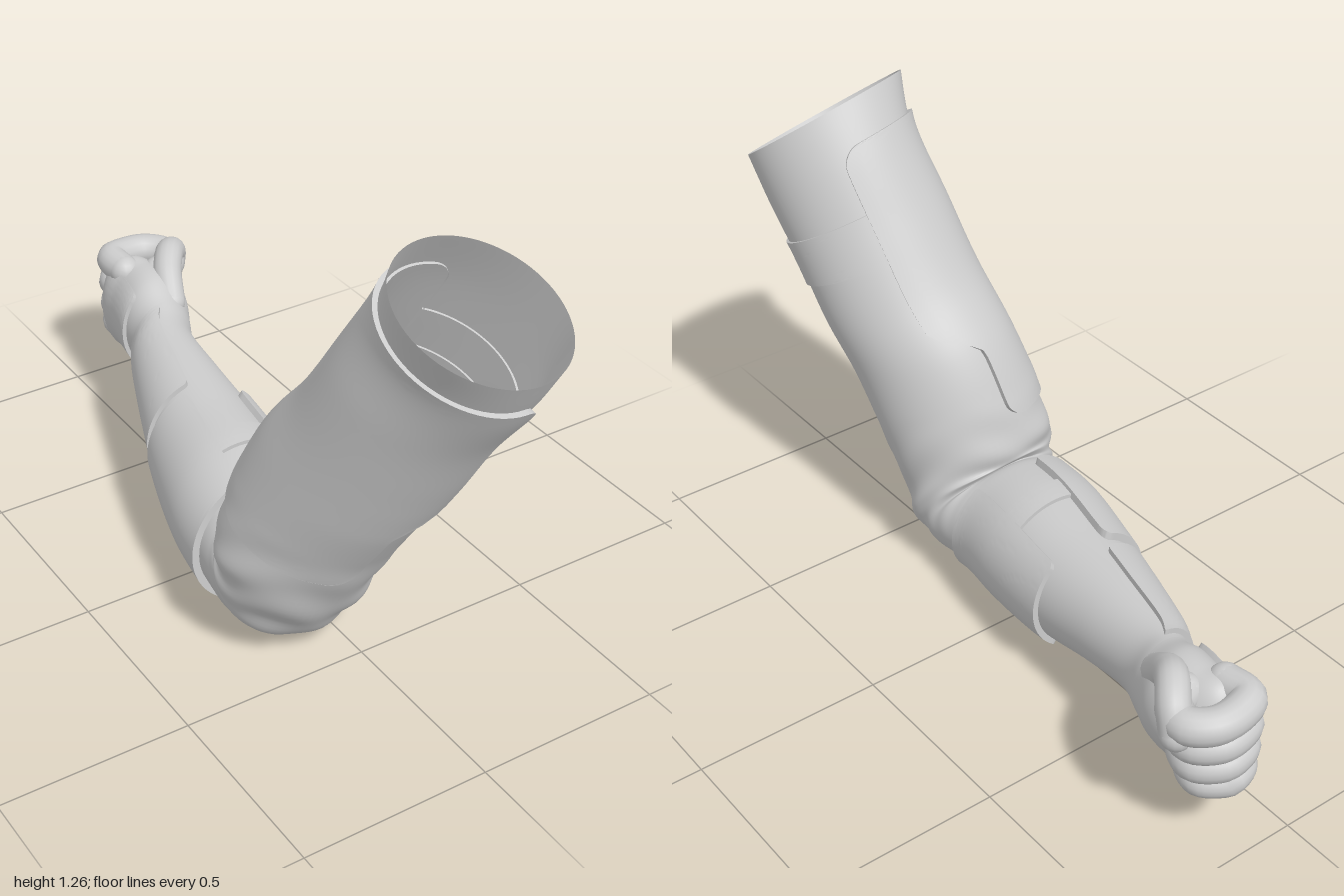
import * as THREE from 'three';
import { toCreasedNormals } from 'three/addons/utils/BufferGeometryUtils.js';

const mat = new THREE.MeshStandardMaterial({ color: 0xcccccc, side: THREE.DoubleSide });

// Cross-sections from shoulder rim to knuckles:
// [z, y of the back/top point, z, y of the front/bottom point, x min, x max, sideways tilt]
const S = [
  [0.68, 1.25, 1.0, 1.04, -0.19, 0.25, 0.05],
  [0.6, 1.12, 0.93, 0.92, -0.165, 0.235, 0.045],
  [0.5, 0.95, 0.84, 0.79, -0.19, 0.215, 0.04],
  [0.4, 0.79, 0.76, 0.64, -0.215, 0.195, 0.035],
  [0.29, 0.65, 0.685, 0.5, -0.245, 0.165, 0.03],
  [0.22, 0.5, 0.6, 0.36, -0.275, 0.145, 0.03],
  [0.185, 0.37, 0.52, 0.21, -0.305, 0.125, 0.02],
  [0.19, 0.33, 0.43, 0.065, -0.295, 0.12, 0.01],
  [0.19, 0.33, 0.31, 0.01, -0.275, 0.11, 0],
  [0.15, 0.345, 0.16, 0.01, -0.26, 0.1, 0],
  [0, 0.365, 0, 0.02, -0.235, 0.125, 0],
  [-0.2, 0.365, -0.2, 0.055, -0.175, 0.145, 0],
  [-0.4, 0.372, -0.4, 0.115, -0.1, 0.153, 0],
  [-0.58, 0.38, -0.56, 0.155, -0.03, 0.165, 0],
  [-0.66, 0.395, -0.66, 0.16, 0.015, 0.2, 0],
  [-0.74, 0.43, -0.74, 0.158, 0.025, 0.235, 0],
  [-0.82, 0.435, -0.82, 0.155, 0.04, 0.235, 0],
  [-0.9, 0.425, -0.9, 0.16, 0.055, 0.2, 0],
  [-0.96, 0.31, -0.96, 0.29, 0.12, 0.14, 0],
];

// Smoothly interpolated section at s
function section(s) {
  const i = Math.min(Math.max(Math.floor(s), 0), S.length - 2), f = s - i;
  const at = (k) => S[Math.min(Math.max(k, 0), S.length - 1)];
  const [a, b, c, d] = [at(i - 1), at(i), at(i + 1), at(i + 2)];
  return b.map((p, k) => p + 0.5 * f * (c[k] - a[k]
    + f * (2 * a[k] - 5 * p + 4 * c[k] - d[k] + f * (3 * (p - c[k]) + d[k] - a[k]))));
}

// Point on the limb: deg 0 = inner side, 90 = back/top, 180 = outer side, 270 = front/bottom
function limbPoint(s, deg, off = 0) {
  const [az, ay, bz, by, x0, x1, tilt] = section(s);
  const t = THREE.MathUtils.degToRad(deg);
  // cloth folds around the elbow
  const fold = Math.max(0, 1 - Math.abs(s - 6.6) / 1.9);
  off += 0.008 * fold * Math.sin(s * 6 + 2.5 * Math.sin(t * 2)) * Math.cos(t * 3 + s);
  const U = new THREE.Vector3((x1 - x0) / 2, -tilt, 0);
  const V = new THREE.Vector3(0, (ay - by) / 2, (az - bz) / 2);
  return new THREE.Vector3((x0 + x1) / 2, (ay + by) / 2, (az + bz) / 2)
    .addScaledVector(U, Math.cos(t) * (1 + off / U.length()))
    .addScaledVector(V, Math.sin(t) * (1 + off / V.length()));
}

// Indexed grid of nu x nv points; wrap closes it in the second direction
function grid(nu, nv, wrap, fn) {
  const pos = [], idx = [];
  for (let i = 0; i < nu; i++) for (let j = 0; j < nv; j++) pos.push(...fn(i, j).toArray());
  for (let i = 0; i < nu - 1; i++) for (let j = 0; j < (wrap ? nv : nv - 1); j++) {
    const k = (j + 1) % nv, a = i * nv + j, b = a + nv, c = i * nv + k, d = c + nv;
    idx.push(a, b, c, c, b, d);
  }
  const g = new THREE.BufferGeometry();
  g.setAttribute('position', new THREE.Float32BufferAttribute(pos, 3));
  g.setIndex(idx);
  g.computeVertexNormals();
  return g;
}

function named(name, geometry) {
  const m = new THREE.Mesh(geometry, mat);
  m.name = name;
  return m;
}

function limb(name, s0, s1) {
  const n = Math.round((s1 - s0) * 10), m = 72;
  return named(name, grid(n + 1, m, true, (i, j) => limbPoint(s0 + (s1 - s0) * i / n, j * 360 / m)));
}

// Raised shell over part of the limb, with a skirt down to the surface and rounded corners
function plate(name, s0, s1, range, off, round = 0.2, corner = 10) {
  const n = 48, m = 36;
  const geo = grid(n + 3, m + 3, false, (i, j) => {
    const u = THREE.MathUtils.clamp((i - 1) / n, 0, 1), v = THREE.MathUtils.clamp((j - 1) / m, 0, 1);
    const s = s0 + (s1 - s0) * (1 - Math.cos(u * Math.PI)) / 2;
    const d = round ? Math.max(0, 1 - Math.min(s - s0, s1 - s) / round) : 0;
    const cut = corner * (1 - Math.sqrt(Math.max(0, 1 - d * d)));
    const [a, b] = range(s);
    const skirt = i === 0 || j === 0 || i === n + 2 || j === m + 2;
    return limbPoint(s, a + cut + (b - a - 2 * cut) * v, skirt ? -0.006 : off);
  });
  return named(name, toCreasedNormals(geo, 0.7));
}

// Rounded finger along a few points
function digit(name, pts, r) {
  const g = new THREE.Group();
  g.name = name;
  const curve = new THREE.CatmullRomCurve3(pts.map((p) => new THREE.Vector3(...p)));
  g.add(named(name + 'Body', new THREE.TubeGeometry(curve, 32, r, 16)));
  for (const t of [0, 1]) {
    const tip = named(name + 'End', new THREE.SphereGeometry(r, 16, 12));
    tip.position.copy(curve.getPoint(t));
    g.add(tip);
  }
  return g;
}

export function createModel() {
  const model = new THREE.Group();
  model.name = 'armouredArm';

  // Sleeve, forearm and palm
  model.add(limb('sleevedArm', 0, 14), limb('palm', 14, 18));

  // Upper arm plate, stepped narrower near the elbow on both edges
  model.add(plate('upperArmPlate', 0.75, 5.3, (s) => {
    const w = 113 - 30 * THREE.MathUtils.smoothstep(s, 3.45, 4.1);
    return [180 - w, 180 + w];
  }, 0.013, 0.3, 14));
  model.add(plate('upperArmStrap', 1.65, 2.35, () => [-68, 68], 0.007, 0));

  // Forearm plates and the straps between them
  model.add(plate('innerForearmPlate', 8.75, 11.15, () => [-57, 52], 0.016, 0.15, 6));
  model.add(plate('outerForearmPlate', 9, 11.25, () => [106, 252], 0.02, 0.2, 8));
  model.add(plate('wristCuff', 11.42, 13.75, (s) => [101 - 3 * (s - 11.4), 259 + 3 * (s - 11.4)], 0.014, 0.1, 5));
  for (const [a, b] of [[50, 108], [-110, -55]]) {
    model.add(plate('forearmStrap', 9.88, 10.3, () => [a, b], 0.01, 0));
  }

  // Plate on the back of the hand
  model.add(plate('handPlate', 14.75, 17.1, () => [128, 232], 0.012, 0.2, 8));

  // Curled fingers, index to little
  [[0.405, 0.275, 0.045], [0.335, 0.255, 0.043], [0.265, 0.24, 0.042], [0.202, 0.22, 0.038]].forEach(([y, x, r], i) => {
    const z = -1 + r + i * 0.004;
    model.add(digit('finger' + (i + 1), [
      [0.1, y, -0.86], [0.1, y + 0.005, z + 0.02], [0.15, y, z],
      [x - 0.06, y - 0.004, z + 0.005], [x - 0.015, y - 0.008, z + 0.05], [x - 0.04, y - 0.01, -0.84], [x - 0.09, y - 0.01, -0.82],
    ], r));
  });

  // Thumb folded over the index finger
  model.add(digit('thumb', [
    [0.16, 0.36, -0.7], [0.19, 0.42, -0.77], [0.225, 0.443, -0.82], [0.26, 0.42, -0.865], [0.27, 0.365, -0.89],
  ], 0.041));

  return model;
}
